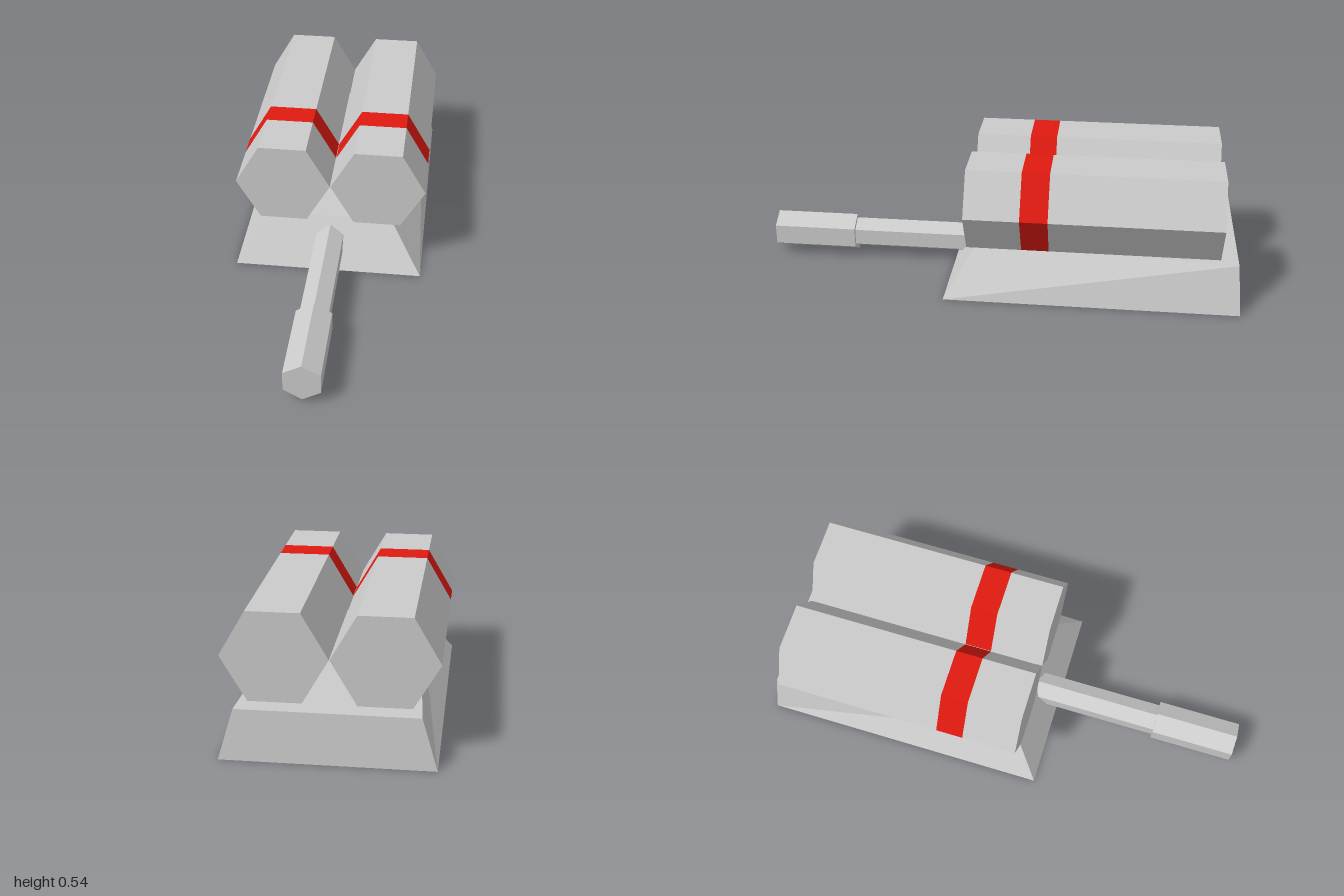
import * as THREE from 'three';

const grey = new THREE.MeshStandardMaterial({ color: 0xcccccc, flatShading: true });
const red = new THREE.MeshStandardMaterial({ color: 0xe01a10, flatShading: true });

// Hexagonal prism running along z from zBack to zFront
function hexPrism(name, radius, zBack, zFront, { flatTop = false, open = false, material = grey } = {}) {
  const start = flatTop ? Math.PI / 6 : 0;
  const geo = new THREE.CylinderGeometry(radius, radius, zFront - zBack, 6, 1, open, start);
  geo.rotateX(Math.PI / 2);
  const mesh = new THREE.Mesh(geo, material);
  mesh.name = name;
  mesh.position.z = (zFront + zBack) / 2;
  return mesh;
}

// Tapered base: a box whose top corners are pulled inward, most at the front
function taperedBase() {
  const geo = new THREE.BoxGeometry(1, 1, 1);
  const p = geo.attributes.position;
  for (let i = 0; i < p.count; i++) {
    const top = p.getY(i) > 0, front = p.getZ(i) > 0;
    const halfWidth = top ? (front ? 0.258 : 0.338) : 0.396;
    const z = front ? (top ? 0.08 : 0.207) : (top ? -0.985 : -1);
    p.setXYZ(i, Math.sign(p.getX(i)) * halfWidth, top ? 0.196 : 0, z);
  }
  geo.computeVertexNormals();
  const mesh = new THREE.Mesh(geo, grey);
  mesh.name = 'base';
  return mesh;
}

export function createModel() {
  const model = new THREE.Group();
  model.name = 'twinTankTurret';
  model.add(taperedBase());

  // Two side-by-side tanks, each with a red band flush with its sides
  for (const side of [1, -1]) {
    const tank = new THREE.Group();
    tank.name = side > 0 ? 'leftTank' : 'rightTank';
    tank.position.set(side * 0.2, 0.37, 0);
    tank.add(
      hexPrism('tankFront', 0.199, -0.107, 0.12, { flatTop: true }),
      hexPrism('tankBand', 0.199, -0.22, -0.107, { flatTop: true, open: true, material: red }),
      hexPrism('tankRear', 0.199, -0.915, -0.22, { flatTop: true })
    );
    model.add(tank);
  }

  // Gun barrel with a thicker muzzle, sunk into the sloped front of the base
  const gun = new THREE.Group();
  gun.name = 'gun';
  gun.position.y = 0.096;
  gun.add(
    hexPrism('barrel', 0.067, 0.065, 0.65),
    hexPrism('muzzle', 0.083, 0.647, 1)
  );
  model.add(gun);

  return model;
}
